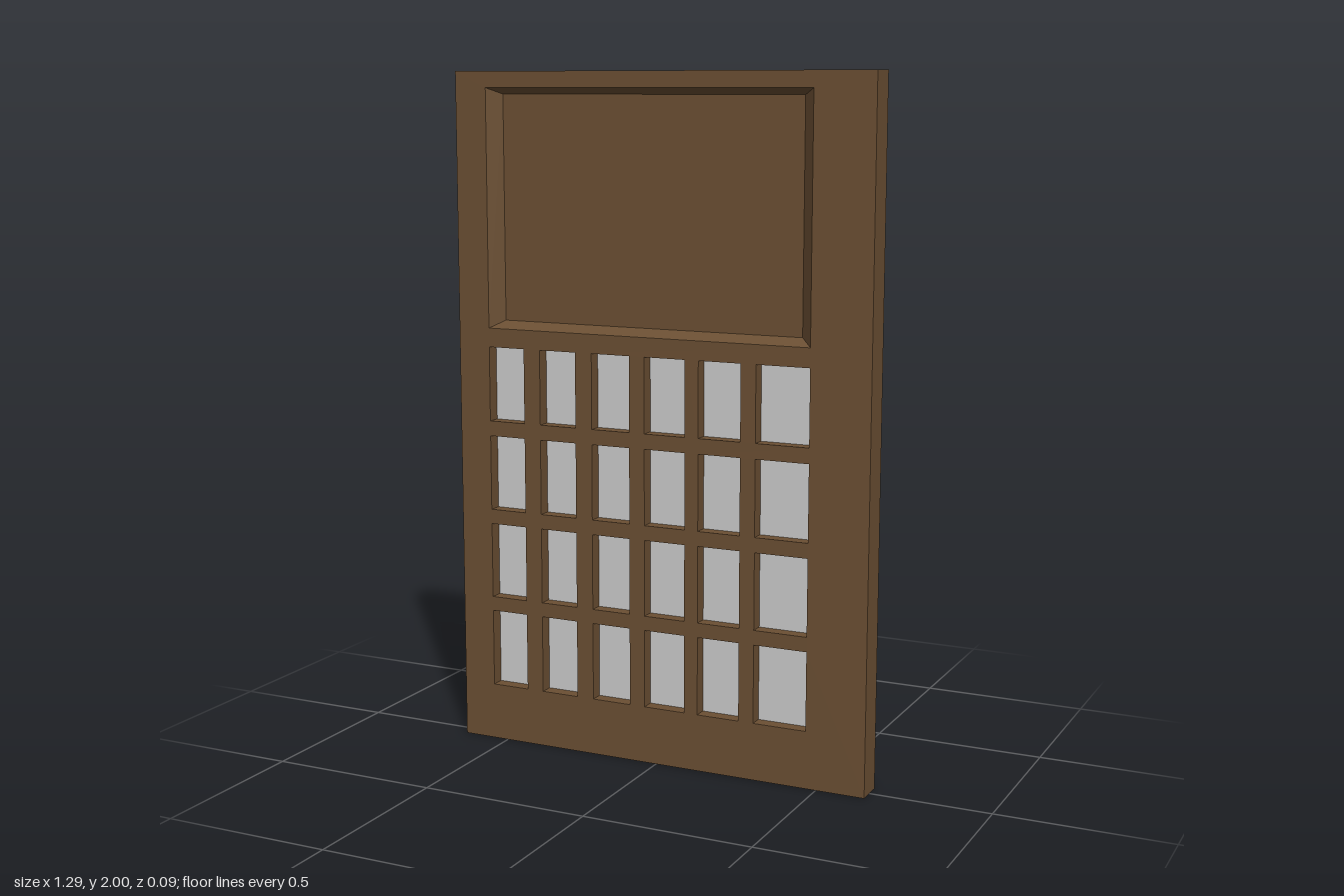
import * as THREE from 'three';

const W = 0.645, H = 2, Z = 0.043, DEPTH = 0.04;

// rectangles are [x0, x1, y0, y1]
const corners = ([x0, x1, y0, y1]) => [[x0, y0], [x1, y0], [x1, y1], [x0, y1]];

// four walls joining a rectangle at zA to a rectangle at zB
function wallGeometry(a, zA, b, zB) {
  const pos = [], index = [];
  for (const [x, y] of corners(a)) pos.push(x, y, zA);
  for (const [x, y] of corners(b)) pos.push(x, y, zB);
  for (let i = 0; i < 4; i++) {
    const j = (i + 1) % 4;
    index.push(i, 4 + i, j, j, 4 + i, 4 + j);
  }
  const g = new THREE.BufferGeometry();
  g.setAttribute('position', new THREE.Float32BufferAttribute(pos, 3));
  g.setIndex(index);
  const flat = g.toNonIndexed();
  flat.computeVertexNormals();
  return flat;
}

function panelGeometry([x0, x1, y0, y1], z) {
  return new THREE.PlaneGeometry(x1 - x0, y1 - y0).translate((x0 + x1) / 2, (y0 + y1) / 2, z);
}

export function createModel() {
  const group = new THREE.Group();
  const material = (color) =>
    new THREE.MeshStandardMaterial({ color, side: THREE.DoubleSide, flatShading: true });
  const brown = material(0x6b4f33);
  const grey = material(0xcccccc);
  const add = (name, geometry, mat, parent = group) => {
    const mesh = new THREE.Mesh(geometry, mat);
    mesh.name = name;
    parent.add(mesh);
  };

  const body = [-W, W, 0, H];
  const screen = [-0.545, 0.467, 1.257, 1.953];
  const screenFloor = [-0.51, 0.428, 1.278, 1.935];
  const columns = [[-0.545, -0.429], [-0.376, -0.259], [-0.206, -0.085],
    [-0.037, 0.09], [0.132, 0.261], [0.307, 0.467]];
  const rows = [[0.98, 1.201], [0.712, 0.935], [0.443, 0.668], [0.169, 0.4]];
  const keys = rows.flatMap((r) => columns.map((c) => [...c, ...r]));

  // front face with the screen and key openings
  const face = new THREE.Shape(corners(body).map((p) => new THREE.Vector2(...p)));
  for (const r of [screen, ...keys]) {
    face.holes.push(new THREE.Path(corners(r).map((p) => new THREE.Vector2(...p)).reverse()));
  }
  add('frontFace', new THREE.ShapeGeometry(face).translate(0, 0, Z), brown);

  // thin outer rim, open at the back
  add('outerRim', wallGeometry(body, Z, body, -Z), brown);

  // sunken screen with sloping sides
  add('screenBevel', wallGeometry(screen, Z, screenFloor, Z - DEPTH), brown);
  add('screenPanel', panelGeometry(screenFloor, Z - DEPTH), brown);

  // key wells, each closed by a grey panel
  const keypad = new THREE.Group();
  keypad.name = 'keypad';
  group.add(keypad);
  for (const k of keys) {
    add('keyWell', wallGeometry(k, Z, k, Z - DEPTH), brown, keypad);
    add('keyPanel', panelGeometry(k, Z - DEPTH), grey, keypad);
  }
  return group;
}
